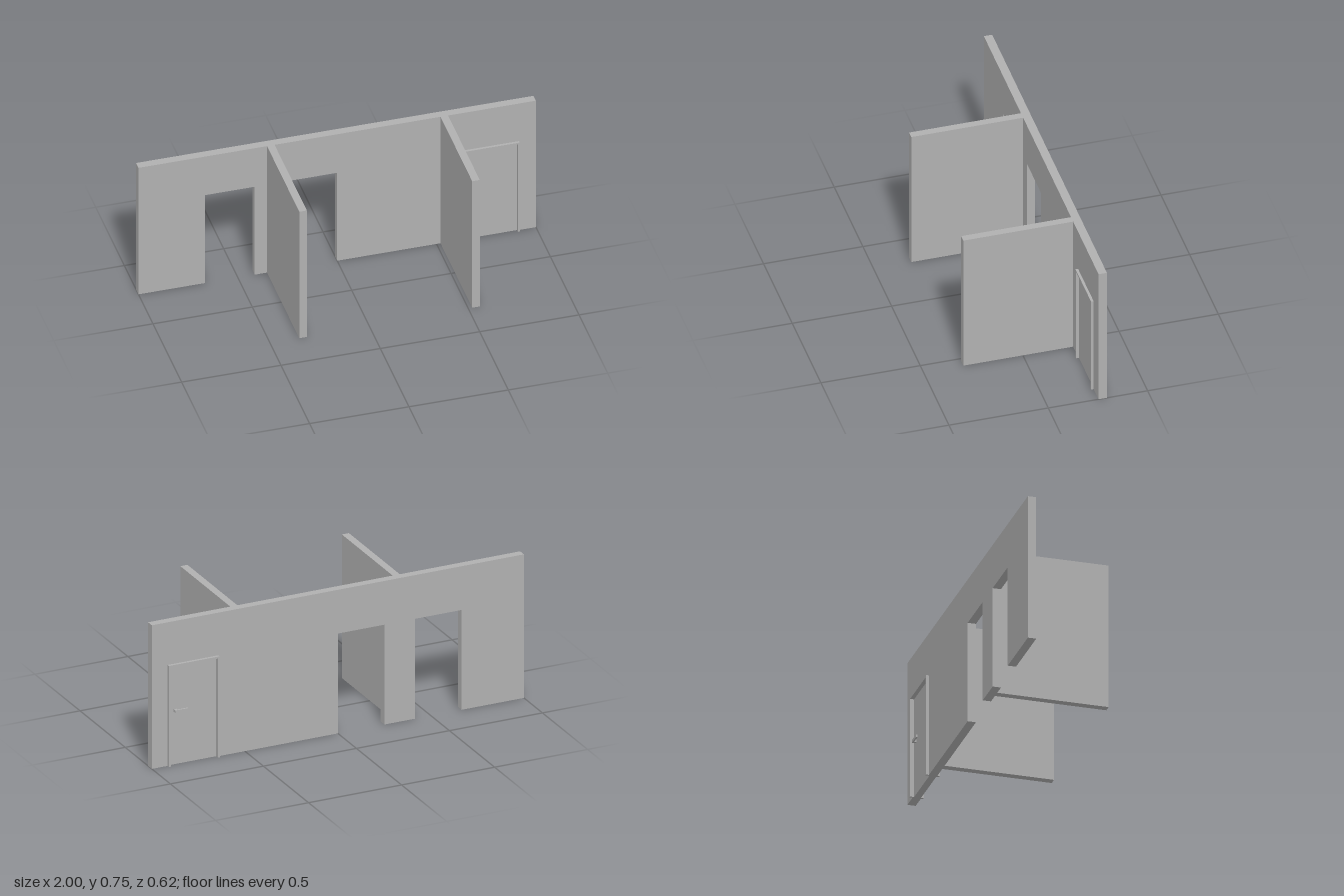
import * as THREE from 'three';

const HEIGHT = 0.755;
const WALL_BACK = -0.295, WALL_FRONT = -0.253;

export function createModel() {
  const model = new THREE.Group();
  model.name = 'partitionWalls';
  const grey = new THREE.MeshStandardMaterial({ color: 0xb0b0b0 });
  grey.name = 'plaster grey';

  const add = (name, geometry, parent = model) => {
    const mesh = new THREE.Mesh(geometry, grey);
    mesh.name = name;
    parent.add(mesh);
    return mesh;
  };
  // Box given by its limits on each axis
  const box = (name, [x0, x1], [y0, y1], [z0, z1], parent) =>
    add(name, new THREE.BoxGeometry(x1 - x0, y1 - y0, z1 - z0), parent)
      .position.set((x0 + x1) / 2, (y0 + y1) / 2, (z0 + z1) / 2);
  // Outline of points extruded between two depths
  const slab = (name, points, z0, z1, parent) => {
    const shape = new THREE.Shape(points.map(([x, y]) => new THREE.Vector2(x, y)));
    const geometry = new THREE.ExtrudeGeometry(shape, { depth: z1 - z0, bevelEnabled: false });
    add(name, geometry.translate(0, 0, z0), parent);
  };

  // Main wall, notched from the floor for two openings and the door
  const openings = [[-0.665, -0.415, 0.525], [-0.25, 0, 0.525], [0.642, 0.915, 0.531]];
  const outline = [[-1, 0]];
  for (const [x0, x1, top] of openings) outline.push([x0, 0], [x0, top], [x1, top], [x1, 0]);
  outline.push([1, 0], [1, HEIGHT], [-1, HEIGHT]);
  slab('mainWall', outline, WALL_BACK, WALL_FRONT);

  // Walls running forward from the main wall
  box('rightPartition', [-0.353, -0.315], [0, HEIGHT], [WALL_FRONT, 0.31]);
  box('leftPartition', [0.52, 0.558], [0, HEIGHT], [WALL_FRONT, 0.3]);

  // Door with a frame standing proud of both wall faces
  const door = new THREE.Group();
  door.name = 'door';
  model.add(door);
  slab('doorFrame', [
    [0.642, 0], [0.652, 0], [0.652, 0.521], [0.905, 0.521],
    [0.905, 0], [0.915, 0], [0.915, 0.531], [0.642, 0.531],
  ], -0.31, -0.24, door);
  box('doorPanel', [0.652, 0.905], [0, 0.521], [-0.29, -0.255], door);

  // Lever handle on the back face
  box('handleNeck', [0.866, 0.88], [0.276, 0.29], [-0.301, -0.29], door);
  box('handleLever', [0.81, 0.88], [0.276, 0.29], [-0.309, -0.301], door);

  return model;
}
